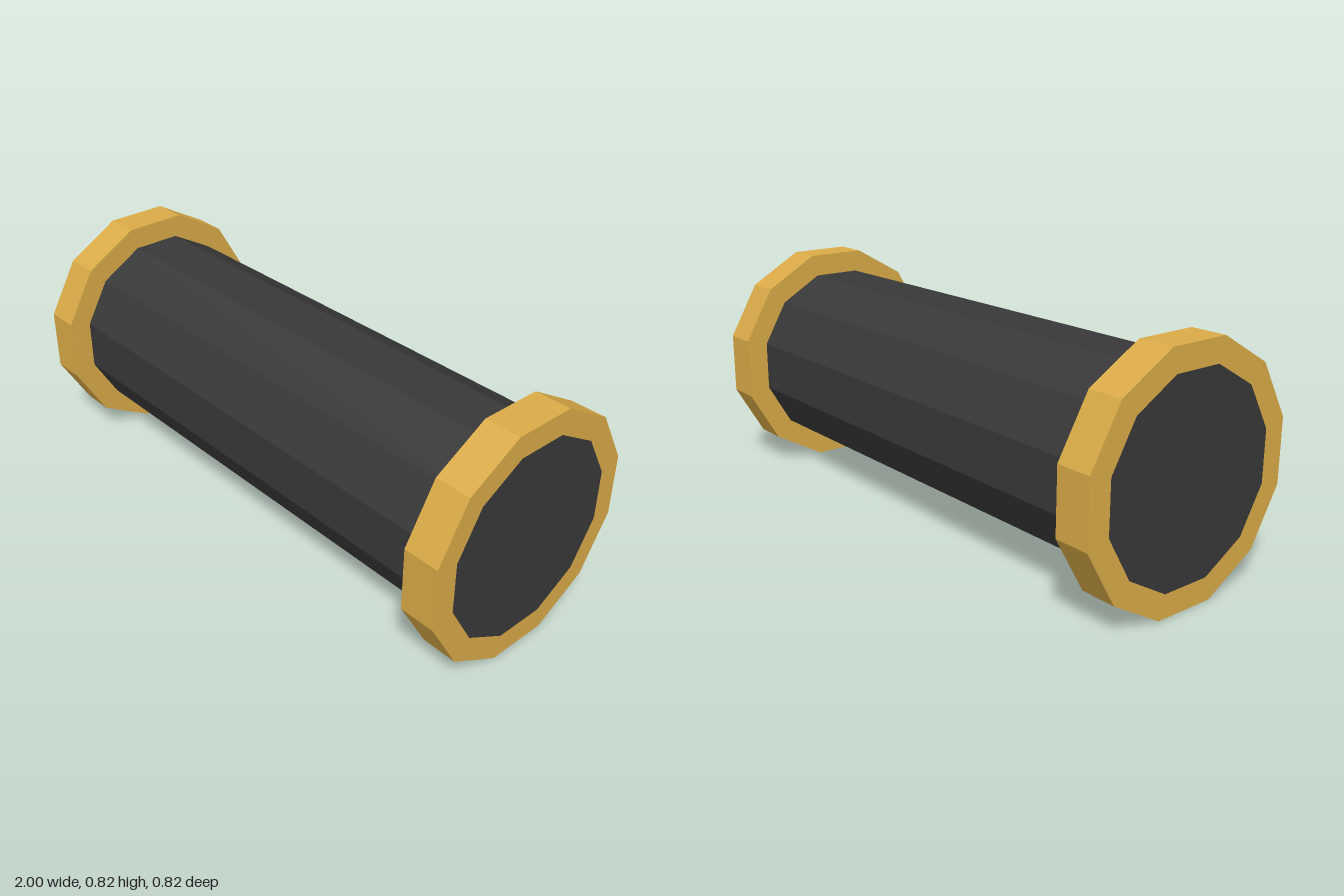
import * as THREE from 'three';

const SIDES = 12;
const TURN = Math.PI / SIDES; // puts flat facets on top, bottom, front and back
const CENTRE_Y = 0.411;
const corner = (apothem) => apothem / Math.cos(TURN);

export function createModel() {
  const gold = new THREE.MeshStandardMaterial({ color: 0xd9aa47, flatShading: true });
  gold.name = 'gold';
  const charcoal = new THREE.MeshStandardMaterial({ color: 0x383838, flatShading: true });
  charcoal.name = 'charcoal';

  const model = new THREE.Group();
  model.name = 'tube';

  // Dark twelve-sided body, running through to both end faces
  const bodyRadius = corner(0.331);
  const bodyGeometry = new THREE.CylinderGeometry(bodyRadius, bodyRadius, 2, SIDES, 1, false, TURN);
  bodyGeometry.rotateZ(-Math.PI / 2);
  const body = new THREE.Mesh(bodyGeometry, charcoal);
  body.name = 'body';
  body.position.y = CENTRE_Y;
  model.add(body);

  // Square-section collars, flush with the ends of the body
  const collarRadius = corner(CENTRE_Y);
  const half = 0.0625;
  const profile = [
    [bodyRadius, -half], [collarRadius, -half], [collarRadius, half], [bodyRadius, half],
  ].map(([r, y]) => new THREE.Vector2(r, y));
  const collarGeometry = new THREE.LatheGeometry(profile, SIDES, TURN);
  collarGeometry.rotateZ(-Math.PI / 2);
  for (const [name, side] of [['leftCollar', 1], ['rightCollar', -1]]) {
    const collar = new THREE.Mesh(collarGeometry, gold);
    collar.name = name;
    collar.position.set(side * (1 - half), CENTRE_Y, 0);
    model.add(collar);
  }

  return model;
}
